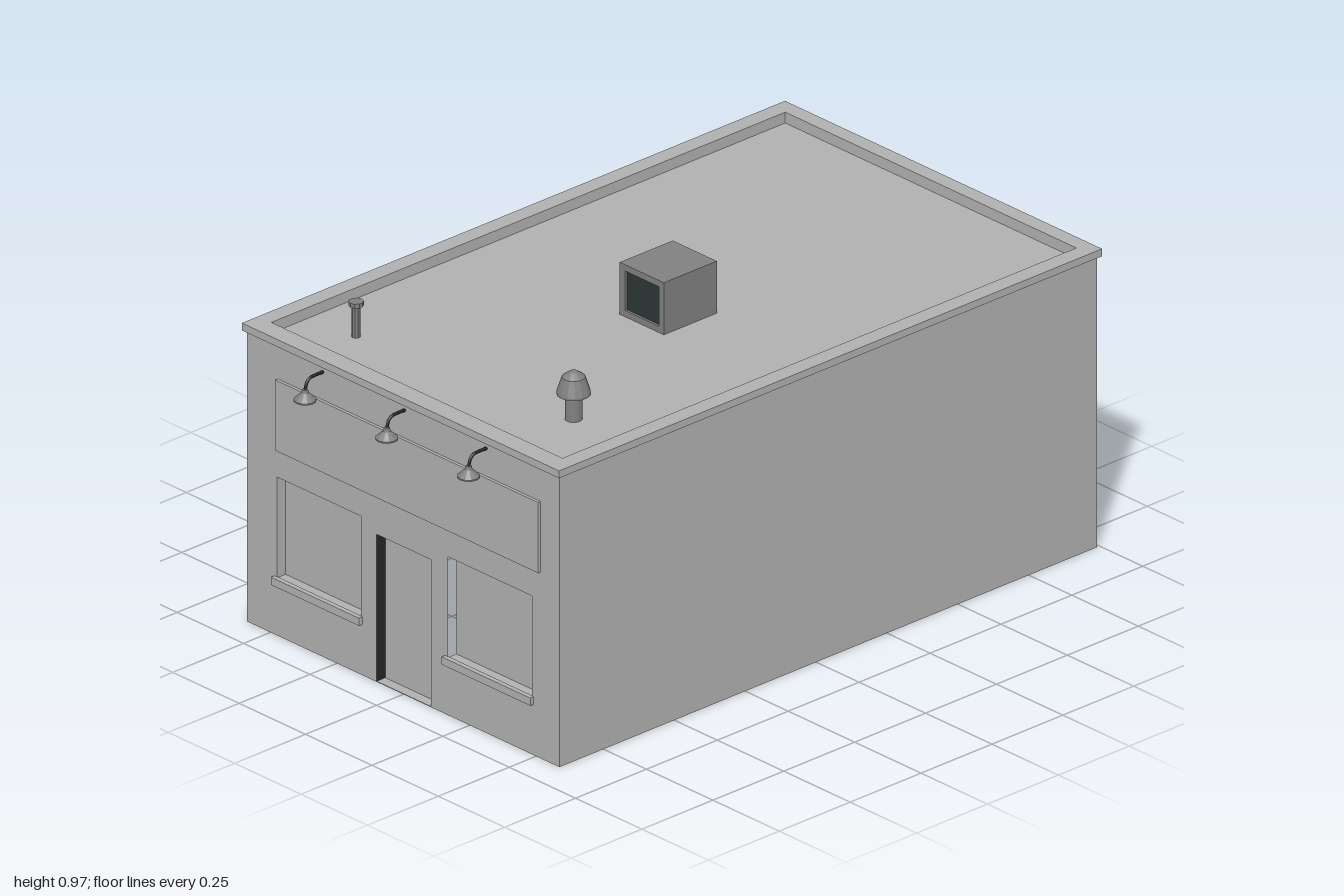
import * as THREE from 'three';

const material = (name, color, extra = {}) => {
  const m = new THREE.MeshStandardMaterial({ color, ...extra });
  m.name = name;
  return m;
};

const rectPoints = (x0, y0, x1, y1) => [[x0, y0], [x1, y0], [x1, y1], [x0, y1]].map(p => new THREE.Vector2(...p));

export function createModel() {
  const group = new THREE.Group();
  const plaster = material('plaster', 0xb0b0b0, { side: THREE.DoubleSide });
  const metal = material('metal', 0x808080, { flatShading: true });
  const dark = material('darkMetal', 0x262626, { side: THREE.DoubleSide });
  const screen = material('grilleScreen', 0x2d3735);

  const add = (name, geometry, mat, x = 0, y = 0, z = 0, parent = group) => {
    const mesh = new THREE.Mesh(geometry, mat);
    mesh.name = name;
    mesh.position.set(x, y, z);
    parent.add(mesh);
    return mesh;
  };
  // box given by its lowest and highest corners
  const box = (name, mat, x0, x1, y0, y1, z0, z1, parent) =>
    add(name, new THREE.BoxGeometry(x1 - x0, y1 - y0, z1 - z0), mat, (x0 + x1) / 2, (y0 + y1) / 2, (z0 + z1) / 2, parent);

  const W = 0.588, FRONT = 0.905, BACK = -0.99, TOP = 0.833, ROOF = 0.822;
  const DEPTH = FRONT - BACK, MID = (FRONT + BACK) / 2;

  // Front wall with openings
  const openings = [
    { name: 'rightWindow', x0: -0.475, x1: -0.16, y0: 0.165, y1: 0.453, sides: [1, 1] },
    { name: 'leftWindow', x0: 0.168, x1: 0.485, y0: 0.165, y1: 0.453, sides: [0, 1] },
    { name: 'door', x0: -0.1, x1: 0.105, y0: 0.002, y1: 0.422, sides: [1, 1] },
  ];
  const front = new THREE.Shape(rectPoints(-W, 0, W, TOP));
  for (const o of openings) front.holes.push(new THREE.Path(rectPoints(o.x0, o.y0, o.x1, o.y1).reverse()));
  add('frontWall', new THREE.ShapeGeometry(front), plaster, 0, 0, FRONT);

  // Recessed panels and the reveals around them
  const recess = 0.03;
  for (const o of openings) {
    const w = o.x1 - o.x0, h = o.y1 - o.y0, cx = (o.x0 + o.x1) / 2, cy = (o.y0 + o.y1) / 2;
    const z = FRONT - recess / 2;
    add(o.name + 'Panel', new THREE.PlaneGeometry(w, h), plaster, cx, cy, FRONT - recess);
    [o.x0, o.x1].forEach((x, i) => {
      if (!o.sides[i]) return;
      const geo = new THREE.PlaneGeometry(recess, h).rotateY(i ? -Math.PI / 2 : Math.PI / 2);
      add(o.name + 'SideReveal', geo, o.name === 'door' ? dark : plaster, x, cy, z);
    });
    for (const [y, turn] of [[o.y0, -1], [o.y1, 1]]) {
      add(o.name + 'Reveal', new THREE.PlaneGeometry(w, recess).rotateX(turn * Math.PI / 2), plaster, cx, y, z);
    }
    if (o.name !== 'door') {
      box(o.name + 'Sill', plaster, o.x0 - 0.011, o.x1 + 0.006, 0.145, 0.167, FRONT - 0.002, FRONT + 0.012);
    }
  }

  // Side and back walls, open underneath
  for (const s of [-1, 1]) {
    add(s > 0 ? 'leftWall' : 'rightWall', new THREE.PlaneGeometry(DEPTH, TOP).rotateY(s * Math.PI / 2), plaster, s * W, TOP / 2, MID);
  }
  add('backWall', new THREE.PlaneGeometry(2 * W, TOP).rotateY(Math.PI), plaster, 0, TOP / 2, BACK);

  // Sunken roof with a rim and an overhanging coping
  add('roof', new THREE.PlaneGeometry(2 * W, DEPTH).rotateX(-Math.PI / 2), plaster, 0, ROOF, MID);
  const ring = (name, x, zBack, zFront, y0, y1) => {
    const shape = new THREE.Shape(rectPoints(-x, -zFront, x, -zBack));
    shape.holes.push(new THREE.Path(rectPoints(-0.548, -0.857, 0.548, 0.955).reverse()));
    const geo = new THREE.ExtrudeGeometry(shape, { depth: y1 - y0, bevelEnabled: false });
    add(name, geo.rotateX(-Math.PI / 2), plaster, 0, y0, 0);
  };
  ring('parapetRim', W - 0.001, BACK + 0.001, FRONT - 0.001, ROOF + 0.001, TOP);
  ring('coping', 0.597, -1, 0.915, TOP, 0.854);

  // Sign board
  box('signBoard', plaster, -0.473, 0.517, 0.533, 0.735, FRONT - 0.001, 0.914);

  // Wall lamps on bent arms
  for (const x of [-0.303, 0.005, 0.313]) {
    const lamp = new THREE.Group();
    lamp.name = 'wallLamp';
    lamp.position.set(x, 0, 0);
    group.add(lamp);
    const path = new THREE.CatmullRomCurve3([
      [0, 0.815, FRONT], [0, 0.815, 0.935], [0, 0.813, 0.952], [0, 0.803, 0.962], [0, 0.782, 0.968],
    ].map(p => new THREE.Vector3(...p)));
    add('lampArm', new THREE.TubeGeometry(path, 8, 0.0045, 6), dark, 0, 0, 0, lamp);
    const shade = [[0, 0.788], [0.008, 0.786], [0.01, 0.777], [0.03, 0.758], [0.03, 0.754], [0, 0.754]];
    add('lampShade', new THREE.LatheGeometry(shade.reverse().map(p => new THREE.Vector2(...p)), 12), metal, 0, 0, 0.968, lamp);
  }

  // Roof air unit: a box with a framed, recessed grille
  const unit = new THREE.Group();
  unit.name = 'airUnit';
  group.add(unit);
  box('unitBody', metal, -0.018, 0.148, ROOF, 0.971, -0.062, 0.115, unit);
  box('unitFrameTop', metal, -0.018, 0.148, 0.953, 0.971, 0.115, 0.125, unit);
  box('unitFrameBottom', metal, -0.018, 0.148, ROOF, 0.84, 0.115, 0.125, unit);
  box('unitFrameRight', metal, -0.018, 0.001, 0.84, 0.953, 0.115, 0.125, unit);
  box('unitFrameLeft', metal, 0.129, 0.148, 0.84, 0.953, 0.115, 0.125, unit);
  box('unitGrille', screen, 0.001, 0.129, 0.84, 0.953, 0.114, 0.118, unit);

  // Hooded vent and thin pipe
  const lathe = (name, points, sides, x, z) =>
    add(name, new THREE.LatheGeometry(points.map(p => new THREE.Vector2(...p)), sides), metal, x, 0, z);
  lathe('hoodedVent', [
    [0.023, ROOF], [0.023, 0.894], [0.045, 0.894], [0.045, 0.9], [0.031, 0.943], [0.012, 0.957], [0, 0.959],
  ], 14, 0.35, 0.632);
  lathe('ventPipe', [
    [0.012, ROOF], [0.012, 0.911], [0.02, 0.911], [0.02, 0.923], [0, 0.923],
  ], 10, -0.387, 0.709);

  return group;
}
